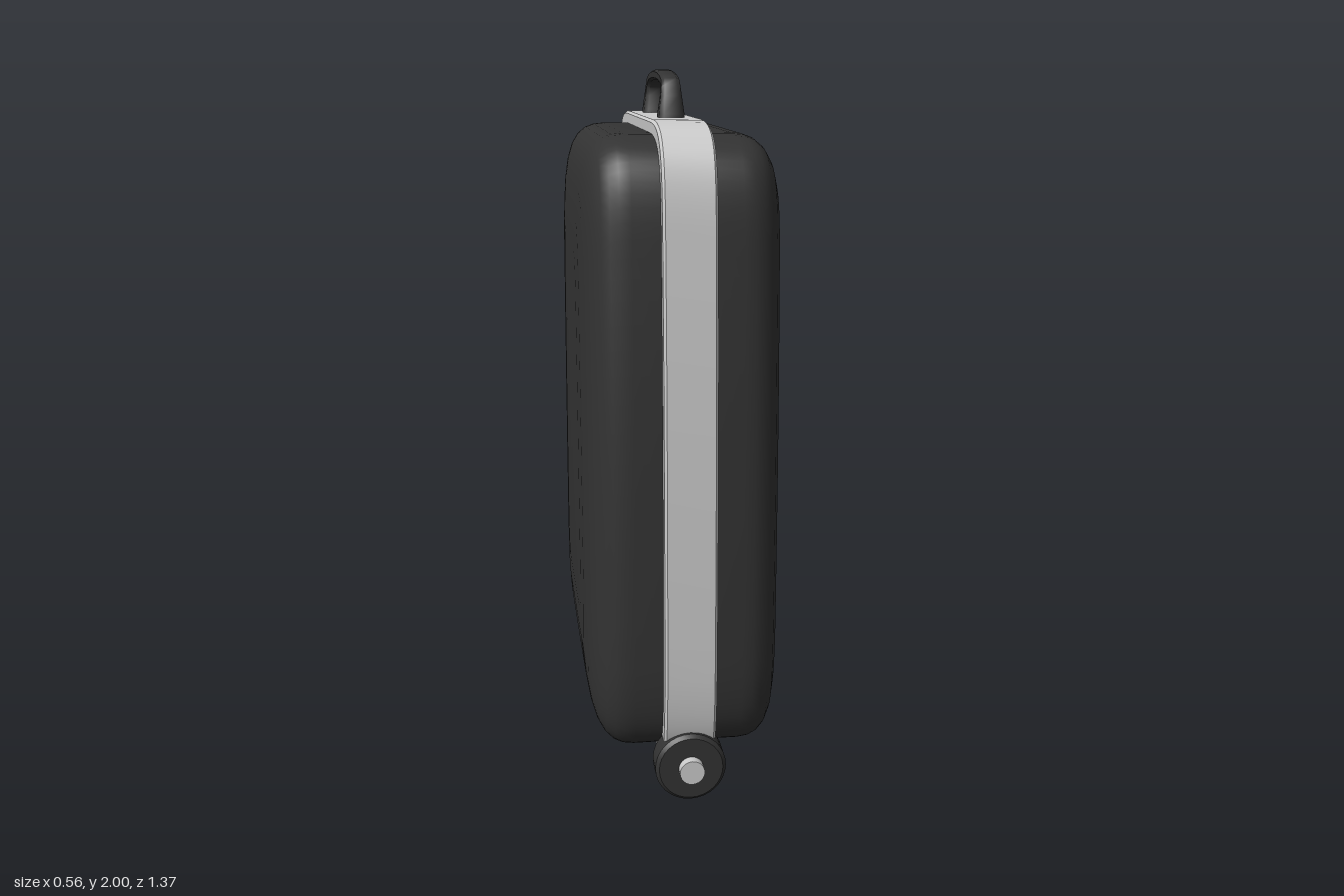
import * as THREE from 'three';
import { toCreasedNormals } from 'three/addons/utils/BufferGeometryUtils.js';

const dark = new THREE.MeshStandardMaterial({ color: 0x333333 });
const grey = new THREE.MeshStandardMaterial({ color: 0xcccccc });

// Skins a list of closed rings of equal length
function loft(rings, crease = 0.6) {
  const n = rings[0].length, index = [];
  for (let i = 0; i < rings.length - 1; i++) {
    for (let j = 0; j < n; j++) {
      const k = (j + 1) % n;
      const a = i * n + j, b = i * n + k, c = a + n, d = b + n;
      index.push(a, c, b, b, c, d);
    }
  }
  const geometry = new THREE.BufferGeometry();
  geometry.setAttribute('position', new THREE.Float32BufferAttribute(rings.flat(2), 3));
  geometry.setIndex(index);
  return toCreasedNormals(geometry, crease);
}

// Case outline in (z, y): tapering sides, tight lower and wide upper corners
function caseOutline() {
  const path = new THREE.Path();
  path.moveTo(0, 0.06);
  path.lineTo(0.4, 0.062);
  path.bezierCurveTo(0.6, 0.065, 0.65, 0.1, 0.655, 0.36);
  path.bezierCurveTo(0.65, 0.9, 0.625, 1.3, 0.605, 1.55);
  path.bezierCurveTo(0.59, 1.8, 0.56, 1.868, 0.33, 1.87);
  path.lineTo(0, 1.87);
  const half = path.getPoints(14);
  const mirrored = half.slice(1, -1).reverse().map((p) => new THREE.Vector2(-p.x, p.y));
  return [...half, ...mirrored];
}

const outline = caseOutline();
const MID_Y = 0.965, HALF_Y = 0.905, HALF_Z = 0.655;

// The outline drawn in at a given x
function outlineRing([x, inset]) {
  const sy = Math.max(0, 1 - inset / HALF_Y), sz = Math.max(0, 1 - inset / HALF_Z);
  return outline.map((p) => [x, MID_Y + (p.y - MID_Y) * sy, p.x * sz]);
}

function add(parent, name, geometry, material) {
  const mesh = new THREE.Mesh(geometry, material);
  mesh.name = name;
  parent.add(mesh);
  return mesh;
}

// Arched grip: stations of [outer z, outer y, inner z, inner y, half width]
function handleGeometry() {
  const side = [
    [0.23, 1.85, 0.155, 1.85, 0.037],
    [0.226, 1.88, 0.157, 1.88, 0.036],
    [0.212, 1.93, 0.168, 1.92, 0.03],
    [0.2, 1.96, 0.167, 1.945, 0.027],
    [0.182, 1.978, 0.155, 1.958, 0.026],
    [0.14, 1.989, 0.125, 1.966, 0.026],
    [0.07, 1.998, 0.068, 1.97, 0.026],
  ];
  const back = side.map(([oz, oy, iz, iy, w]) => [-oz, oy, -iz, iy, w]).reverse();
  const stations = [...side, [0, 2, 0, 1.971, 0.026], ...back];
  // chamfered rectangle, going round from the outer right corner
  const section = [[1, 0.6], [0.65, 1], [-0.65, 1], [-1, 0.6], [-1, -0.6], [-0.65, -1], [0.65, -1], [1, -0.6]];
  return loft(stations.map(([oz, oy, iz, iy, w]) => section.map(([u, v]) => {
    const t = (v + 1) / 2;
    return [u * w, iy + (oy - iy) * t, iz + (oz - iz) * t];
  })), 0.9);
}

function createWheel() {
  const wheel = new THREE.Group();
  wheel.name = 'wheel';
  const profile = [[0, 0.575], [0.09, 0.575], [0.1, 0.585], [0.1, 0.648], [0.09, 0.658], [0, 0.658]]
    .map(([r, z]) => new THREE.Vector2(r, z));
  const tyre = new THREE.LatheGeometry(profile, 32).rotateX(Math.PI / 2);
  add(wheel, 'tyre', toCreasedNormals(tyre, 0.6), dark);
  const hub = new THREE.CylinderGeometry(0.035, 0.035, 0.06, 24).rotateX(Math.PI / 2);
  add(wheel, 'hub', hub, grey).position.z = 0.655;
  wheel.position.y = 0.1;
  return wheel;
}

export function createModel() {
  const model = new THREE.Group();
  model.name = 'suitcase';

  // Two soft-edged shell halves, [x, inset] from the seam to the face
  const shellProfile = [
    [0.02, 0.036], [0.15, 0.036], [0.18, 0.039], [0.205, 0.048], [0.228, 0.066], [0.247, 0.095],
    [0.261, 0.135], [0.271, 0.19], [0.278, 0.27], [0.281, 0.36], [0.282, 0.5], [0.282, 0.905],
  ];
  const shell = loft(shellProfile.map(outlineRing));
  add(model, 'leftShell', shell, dark);
  add(model, 'rightShell', shell, dark).rotation.y = Math.PI;

  // Frame band running round the middle
  const bandProfile = [[-0.073, 0.06], [-0.073, 0.007], [-0.066, 0], [0.066, 0], [0.073, 0.007], [0.073, 0.06]];
  add(model, 'frameBand', loft(bandProfile.map(outlineRing)), grey);

  add(model, 'handle', handleGeometry(), dark);

  // A wheel at each lower corner
  for (const turn of [0, Math.PI]) {
    const wheel = createWheel();
    wheel.rotation.y = turn;
    model.add(wheel);
  }
  return model;
}
